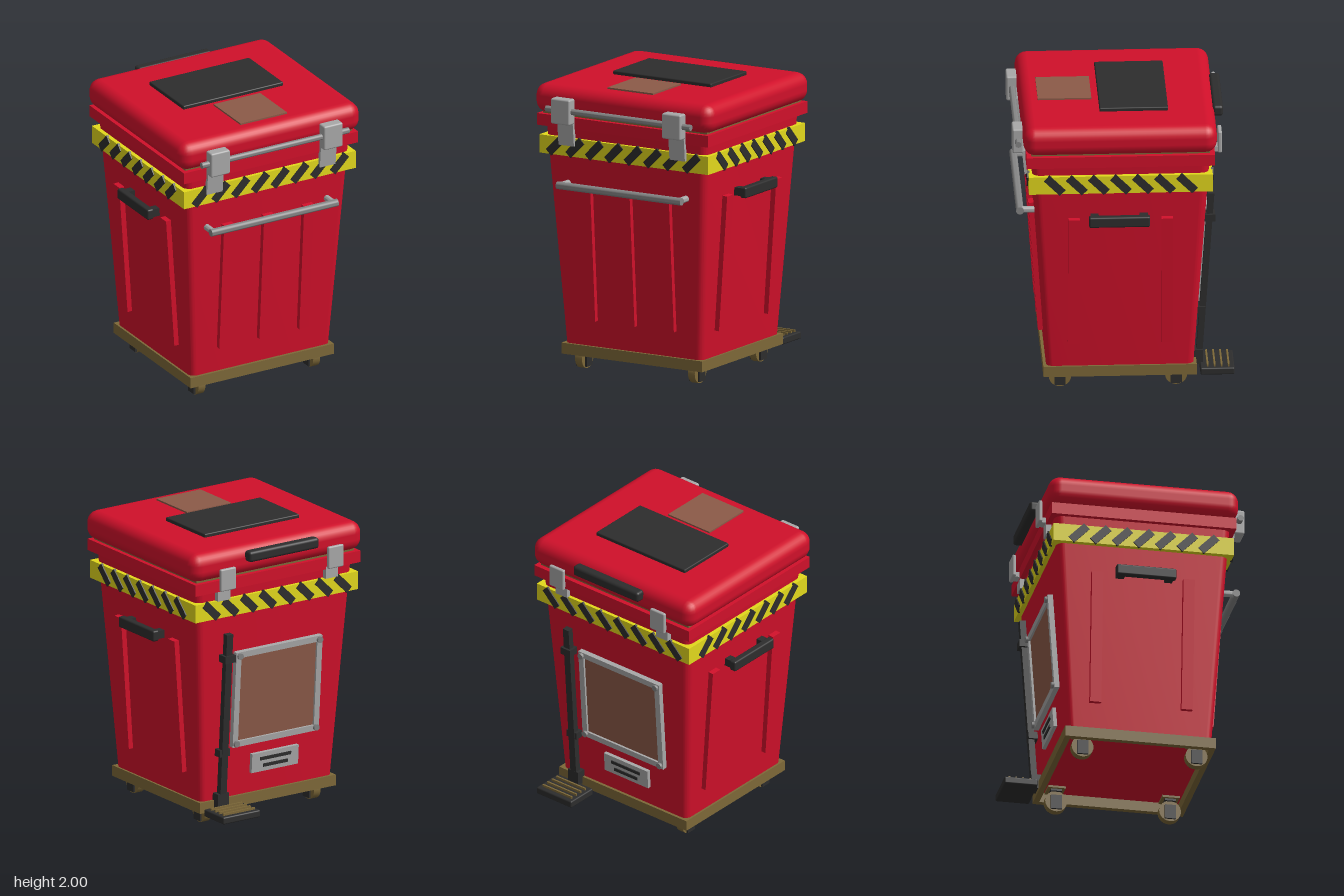
import * as THREE from 'three';
import { toCreasedNormals } from 'three/addons/utils/BufferGeometryUtils.js';
import { RoundedBoxGeometry } from 'three/addons/geometries/RoundedBoxGeometry.js';

const mat = (color) => new THREE.MeshStandardMaterial({ color });
const RED = mat(0xd0102a), YELLOW = mat(0xe2d81c), DARK = mat(0x2d2d2d), BRASS = mat(0x7d6838);
const COPPER = mat(0x8c5a48), STEEL = mat(0xa8a8a8), TUBE = mat(0x858585);
const CZ = 0.025; // centre of the bin in z
const TILT = Math.atan(0.105 / 1.52); // slope of the bin walls

function add(parent, name, geometry, material, x, y, z) {
  const m = new THREE.Mesh(geometry, material);
  m.name = name;
  m.position.set(x, y, z);
  parent.add(m);
  return m;
}
const box = (p, name, material, w, h, d, x, y, z) =>
  add(p, name, new THREE.BoxGeometry(w, h, d), material, x, y, z);
const rbox = (p, name, material, w, h, d, r, x, y, z) =>
  add(p, name, new RoundedBoxGeometry(w, h, d, 3, r), material, x, y, z);
function rod(p, name, material, r, len, axis, x, y, z, sides = 20) {
  const g = new THREE.CylinderGeometry(r, r, len, sides);
  if (axis === 'x') g.rotateZ(Math.PI / 2);
  if (axis === 'z') g.rotateX(Math.PI / 2);
  return add(p, name, toCreasedNormals(g, 0.7), material, x, y, z);
}
function group(parent, name) {
  const g = new THREE.Group();
  g.name = name;
  parent.add(g);
  return g;
}

function roundedRect(hw, hd, r) {
  const s = new THREE.Shape();
  s.moveTo(-hw + r, -hd);
  s.lineTo(hw - r, -hd);
  s.absarc(hw - r, -hd + r, r, -Math.PI / 2, 0);
  s.absarc(hw - r, hd - r, r, 0, Math.PI / 2);
  s.absarc(-hw + r, hd - r, r, Math.PI / 2, Math.PI);
  s.absarc(-hw + r, -hd + r, r, Math.PI, Math.PI * 1.5);
  return s;
}

// Bin shell that widens towards the top
function taperedBody() {
  const h = 1.55;
  let g = new THREE.ExtrudeGeometry(roundedRect(0.54, 0.495, 0.045),
    { depth: h, bevelEnabled: false, curveSegments: 6 });
  g.rotateX(-Math.PI / 2);
  const p = g.attributes.position;
  for (let i = 0; i < p.count; i++) {
    const t = p.getY(i) / h;
    p.setX(i, p.getX(i) * (1 + 0.19 * t));
    p.setZ(i, p.getZ(i) * (1 + 0.213 * t));
  }
  return toCreasedNormals(g, 0.6);
}

// Group lying on a sloping wall: x across, y up from the wall's foot, z outwards
function wall(root, name, turn, half) {
  const outer = group(root, name);
  outer.position.z = CZ;
  outer.rotation.y = turn;
  const inner = group(outer, name + 'Surface');
  inner.position.set(0, 0.18, half);
  inner.rotation.x = TILT;
  return inner;
}

export function createModel() {
  const root = new THREE.Group();
  root.name = 'wheeledBin';

  // Shell, rim, gasket and lid
  add(root, 'body', taperedBody(), RED, 0, 0.18, CZ);
  box(root, 'rim', RED, 1.35, 0.08, 1.265, 0, 1.73, CZ);
  box(root, 'gasket', BRASS, 1.29, 0.03, 1.2, 0, 1.775, CZ);
  rbox(root, 'lid', RED, 1.4, 0.2, 1.3, 0.08, 0, 1.875, CZ + 0.003);
  rbox(root, 'lidPanel', DARK, 0.775, 0.03, 0.46, 0.008, 0, 1.985, -0.075);
  box(root, 'lidPlate', COPPER, 0.36, 0.02, 0.36, 0, 1.976, 0.38);
  rbox(root, 'lidHandle', DARK, 0.57, 0.075, 0.07, 0.02, -0.005, 1.912, -0.645);

  // Hazard band with slanted stripes on all four sides
  const band = group(root, 'hazardBand');
  box(band, 'band', YELLOW, 1.33, 0.125, 1.235, 0, 1.56, CZ);
  for (const s of [-1, 1]) {
    for (let i = 0; i < 8; i++) {
      const m = box(band, 'stripe', DARK, 0.055, 0.15, 0.016, (i - 3.5) * 0.153, 1.562, CZ + s * 0.618);
      m.rotation.z = -Math.PI / 4;
    }
    for (let i = 0; i < 7; i++) {
      const m = box(band, 'stripe', DARK, 0.016, 0.15, 0.055, s * 0.665, 1.562, CZ + (i - 3) * 0.148);
      m.rotation.x = Math.PI / 4;
    }
  }

  // Base frame
  const base = group(root, 'baseFrame');
  for (const s of [-1, 1]) {
    box(base, 'baseRail', BRASS, 1.11, 0.075, 0.04, 0, 0.147, CZ + s * 0.495);
    box(base, 'baseRail', BRASS, 0.04, 0.075, 0.95, s * 0.535, 0.147, CZ);
  }

  // Casters
  for (const x of [-0.445, 0.445]) for (const z of [0.425, -0.355]) {
    const c = group(root, 'caster');
    c.position.set(x, 0, z);
    rod(c, 'wheel', BRASS, 0.075, 0.054, 'x', 0, 0.08, 0, 24);
    for (const s of [-1, 1]) box(c, 'fork', DARK, 0.014, 0.1, 0.075, s * 0.036, 0.07, 0);
    box(c, 'casterTop', DARK, 0.086, 0.03, 0.075, 0, 0.165, 0);
    box(c, 'casterMount', BRASS, 0.12, 0.02, 0.12, 0, 0.175, 0);
  }

  // Front wall: ribs and tube handle
  const front = wall(root, 'frontWall', 0, 0.495);
  for (const x of [-0.31, 0, 0.31]) box(front, 'rib', RED, 0.077, 0.935, 0.06, x, 0.655, 0.004);
  const bar = group(root, 'frontHandle');
  rod(bar, 'handleTube', TUBE, 0.026, 0.98, 'x', 0, 1.303, 0.694);
  for (const s of [-1, 1]) rod(bar, 'handleLeg', STEEL, 0.022, 0.12, 'z', s * 0.465, 1.303, 0.645);

  // Side walls: ribs and grips
  for (const s of [-1, 1]) {
    const side = wall(root, 'sideWall', s * Math.PI / 2, 0.54);
    for (const z of [-0.313, 0.313]) box(side, 'rib', RED, 0.077, 0.935, 0.06, z, 0.655, 0.004);
    const grip = group(root, 'sideHandle');
    rbox(grip, 'grip', DARK, 0.05, 0.075, 0.41, 0.012, s * 0.69, 1.302, 0.035);
    for (const z of [-0.13, 0.2]) box(grip, 'gripMount', DARK, 0.09, 0.055, 0.055, s * 0.637, 1.302, z);
  }

  // Front latches joined by a rod
  rod(root, 'latchRod', TUBE, 0.021, 1.14, 'x', 0, 1.823, 0.708);
  for (const x of [-0.44, 0.435]) {
    const l = group(root, 'latch');
    l.position.x = x;
    rbox(l, 'latchBlock', STEEL, 0.148, 0.175, 0.075, 0.012, 0, 1.82, 0.708);
    box(l, 'latchTongue', STEEL, 0.122, 0.17, 0.025, 0, 1.66, 0.66).rotation.x = 0.1;
  }

  // Rear hinges
  for (const x of [-0.44, 0.44]) {
    const h = group(root, 'hinge');
    h.position.x = x;
    rbox(h, 'hingePlate', STEEL, 0.125, 0.155, 0.027, 0.01, 0, 1.783, -0.648);
    box(h, 'hingeLink', STEEL, 0.08, 0.035, 0.06, 0, 1.725, -0.625);
    box(h, 'hingeFoot', STEEL, 0.1, 0.085, 0.035, 0, 1.665, -0.59);
  }

  // Back wall: framed panel and slotted plate
  const back = wall(root, 'backWall', Math.PI, 0.495);
  const frame = group(back, 'panelFrame');
  frame.position.set(0.035, 0.705, 0);
  box(frame, 'panel', COPPER, 0.66, 0.64, 0.03, 0, 0, 0.005);
  for (const s of [-1, 1]) {
    box(frame, 'frameSide', STEEL, 0.042, 0.68, 0.05, s * 0.331, 0, 0.01);
    box(frame, 'frameEnd', STEEL, 0.7, 0.042, 0.05, 0, s * 0.32, 0.01);
    for (const t of [-1, 1]) rod(frame, 'screw', TUBE, 0.022, 0.02, 'z', s * 0.325, t * 0.315, 0.042, 12);
  }
  const vent = group(back, 'ventPlate');
  vent.position.set(0.045, 0.215, 0);
  box(vent, 'plate', STEEL, 0.38, 0.135, 0.04, 0, 0, 0.005);
  box(vent, 'slot', DARK, 0.25, 0.022, 0.014, 0, 0.025, 0.025);
  box(vent, 'slot', DARK, 0.2, 0.022, 0.014, 0, -0.025, 0.025);

  // Foot pedal with its push rod
  const pedal = group(root, 'footPedal');
  pedal.position.x = 0.395;
  box(pedal, 'pushRod', DARK, 0.05, 1.2, 0.042, 0, 0.775, -0.552).rotation.x = -TILT;
  box(pedal, 'rodGuide', DARK, 0.085, 0.05, 0.075, 0, 1.2, -0.582);
  box(pedal, 'rodGuide', DARK, 0.085, 0.05, 0.075, 0, 0.525, -0.515);
  box(pedal, 'pivot', DARK, 0.09, 0.1, 0.07, 0, 0.185, -0.502);
  rbox(pedal, 'tread', DARK, 0.305, 0.05, 0.23, 0.01, -0.005, 0.122, -0.63);
  for (let i = 0; i < 4; i++) box(pedal, 'treadRidge', BRASS, 0.255, 0.02, 0.012, -0.005, 0.152, -0.565 - i * 0.047);

  return root;
}
